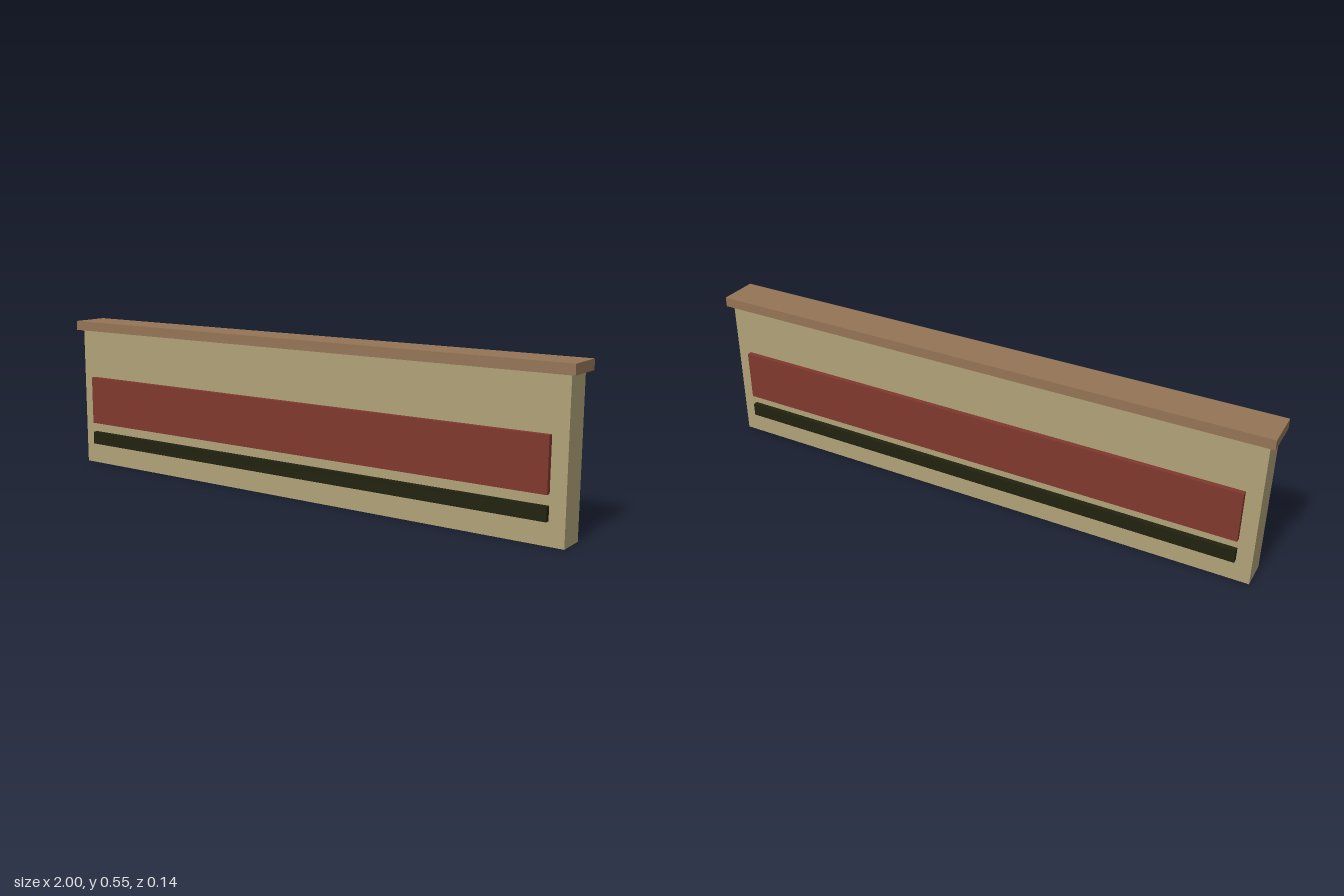
import * as THREE from 'three';

const material = (name, color) => {
  const m = new THREE.MeshStandardMaterial({ color, side: THREE.DoubleSide });
  m.name = name;
  return m;
};

// Box given by its size, bottom height and z centre; optionally open underneath
function block(name, mat, [w, h, d], y, z = 0, open = false) {
  const geometry = new THREE.BoxGeometry(w, h, d);
  if (open) {
    const index = Array.from(geometry.index.array);
    index.splice(18, 6); // the downward face
    geometry.setIndex(index);
    geometry.clearGroups();
  }
  const mesh = new THREE.Mesh(geometry, mat);
  mesh.name = name;
  mesh.position.set(0, y + h / 2, z);
  return mesh;
}

export function createModel() {
  const model = new THREE.Group();
  model.name = 'lowWall';

  const plaster = material('sand plaster', 0xb0a178);
  const coping = material('brown coping', 0x947556);
  const red = material('brick red', 0x80382d);
  const dark = material('dark olive', 0x222210);

  // Hollow wall, open underneath, with an overhanging cap
  model.add(block('wallBody', plaster, [1.964, 0.511, 0.099], 0, 0, true));
  model.add(block('wallCap', coping, [2, 0.034, 0.137], 0.511));

  // Raised panel and strip on both faces
  for (const [side, s] of [['front', 1], ['back', -1]]) {
    const z = s * 0.058;
    model.add(block(side + 'Panel', red, [1.86, 0.176, 0.018], 0.158, z, true));
    model.add(block(side + 'Strip', dark, [1.86, 0.046, 0.018], 0.077, z, true));
  }
  return model;
}
